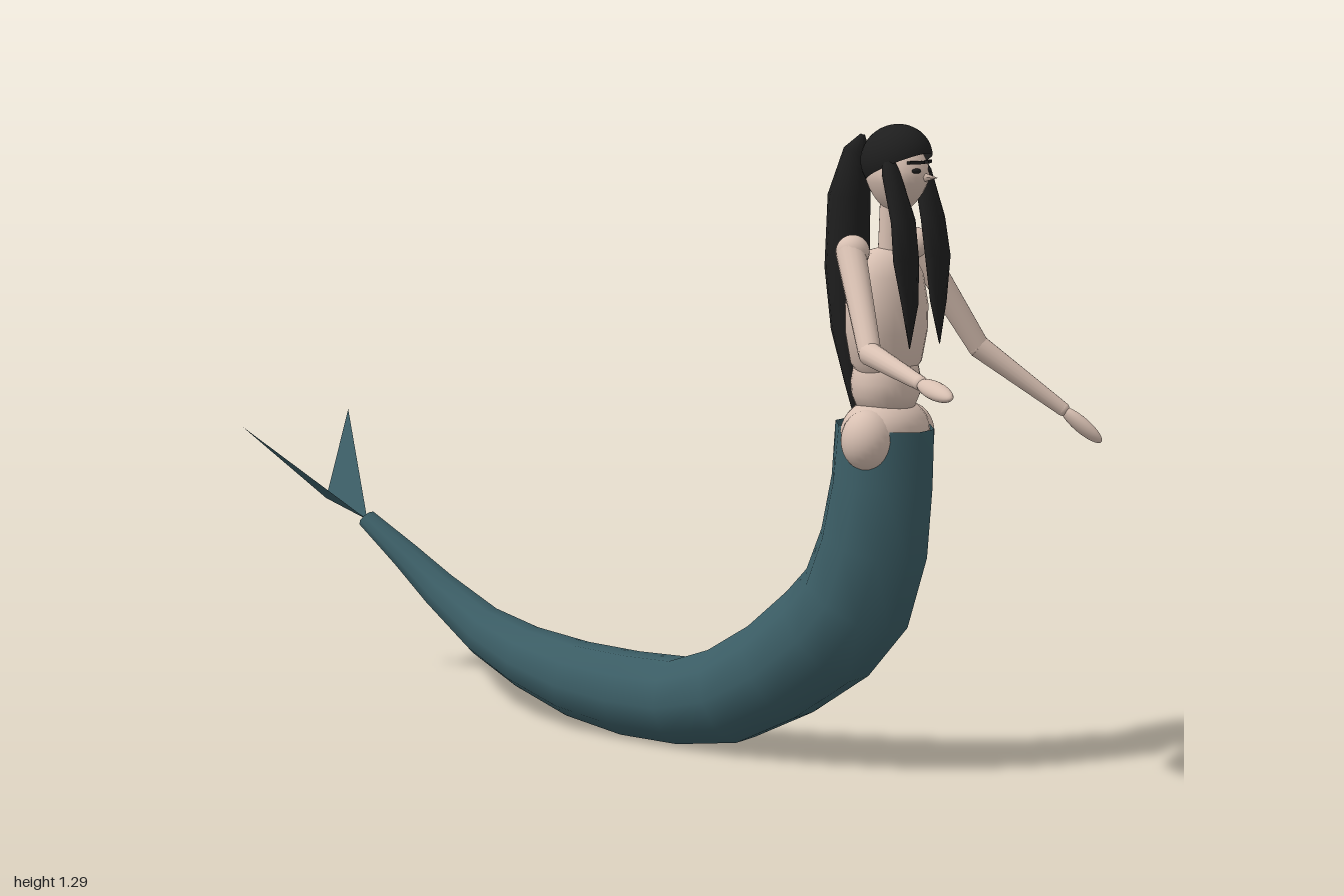
import * as THREE from 'three';

const CX = 0.019; // body midline

export function createModel() {
  const model = new THREE.Group();
  const mat = (name, color, side = THREE.FrontSide) => {
    const m = new THREE.MeshStandardMaterial({ color, side });
    m.name = name;
    return m;
  };
  const skin = mat('skin', 0xd8c0b2);
  const hair = mat('black hair', 0x1e1e1e);
  const teal = mat('teal scales', 0x3b5d65, THREE.DoubleSide);

  const add = (name, geometry, material, x = 0, y = 0, z = 0) => {
    const mesh = new THREE.Mesh(geometry, material);
    mesh.name = name;
    mesh.position.set(x, y, z);
    model.add(mesh);
    return mesh;
  };
  const ball = (name, x, y, z, rx, ry = rx, rz = rx, material = skin) =>
    add(name, new THREE.SphereGeometry(1, 24, 16).scale(rx, ry, rz), material, x, y, z);

  // Elliptical rings [x, y, z, half width, half depth], set square to the path in the yz plane
  const loft = (rings, sides) => {
    const pos = [], index = [];
    rings.forEach(([x, y, z, rx, rd], i) => {
      const p = rings[Math.max(i - 1, 0)], q = rings[Math.min(i + 1, rings.length - 1)];
      const len = Math.hypot(q[1] - p[1], q[2] - p[2]);
      const ty = (q[1] - p[1]) / len, tz = (q[2] - p[2]) / len;
      for (let j = 0; j < sides; j++) {
        const a = (j / sides) * Math.PI * 2, s = Math.sin(a) * rd;
        pos.push(x + Math.cos(a) * rx, y + tz * s, z - ty * s);
        if (i === rings.length - 1) continue;
        const k = i * sides + j, n = i * sides + (j + 1) % sides;
        index.push(k, n, k + sides, n, n + sides, k + sides);
      }
    });
    const g = new THREE.BufferGeometry();
    g.setAttribute('position', new THREE.Float32BufferAttribute(pos, 3));
    g.setIndex(index);
    g.computeVertexNormals();
    return g;
  };

  // Tapered limb between two points
  const limb = (name, a, b, ra, rb) => {
    const d = b.clone().sub(a), mid = a.clone().add(b).multiplyScalar(0.5);
    const mesh = add(name, new THREE.CylinderGeometry(rb, ra, d.length(), 16), skin, ...mid);
    mesh.quaternion.setFromUnitVectors(new THREE.Vector3(0, 1, 0), d.normalize());
    return mesh;
  };

  // Tail
  add('tail', loft([
    [CX, 0.714, 0.61, 0.09, 0.102],
    [CX, 0.60, 0.605, 0.101, 0.103],
    [CX, 0.475, 0.588, 0.112, 0.11],
    [CX, 0.36, 0.549, 0.114, 0.117],
    [CX, 0.28, 0.48, 0.114, 0.118],
    [CX, 0.193, 0.367, 0.112, 0.11],
    [CX, 0.126, 0.245, 0.106, 0.104],
    [0.017, 0.096, 0.12, 0.10, 0.091],
    [0.013, 0.095, -0.01, 0.092, 0.089],
    [0.015, 0.107, -0.15, 0.085, 0.081],
    [0.032, 0.133, -0.30, 0.071, 0.067],
    [0.056, 0.169, -0.435, 0.056, 0.055],
    [0.08, 0.238, -0.58, 0.044, 0.042],
    [0.085, 0.303, -0.68, 0.036, 0.031],
    [0.079, 0.377, -0.79, 0.024, 0.021],
  ], 10), teal);

  // Forked fin, one flat blade on each side
  for (const side of [-1, 1]) {
    const fin = new THREE.BufferGeometry();
    fin.setAttribute('position', new THREE.Float32BufferAttribute(
      [0, 0.375, -0.79, side * 0.178, 0.588, -1, 0, 0.412, -0.912], 3));
    fin.setIndex(side > 0 ? [0, 1, 2] : [0, 2, 1]);
    fin.computeVertexNormals();
    add(side > 0 ? 'leftFin' : 'rightFin', fin, teal, 0.079);
  }

  // Torso
  const chestProfile = [[0, 0.80], [0.06, 0.81], [0.085, 0.84], [0.098, 0.90], [0.099, 0.95],
    [0.087, 1.01], [0.06, 1.055], [0, 1.068]].map(([r, y]) => new THREE.Vector2(r, y));
  add('chest', new THREE.LatheGeometry(chestProfile, 28).scale(1, 1, 0.74), skin, CX, 0, 0.612);
  const bellyProfile = [[0, 0.745], [0.06, 0.745], [0.073, 0.775], [0.076, 0.80], [0.07, 0.83],
    [0.056, 0.852], [0, 0.853]].map(([r, y]) => new THREE.Vector2(r, y));
  add('belly', new THREE.LatheGeometry(bellyProfile, 28).scale(1, 1, 0.88), skin, CX, 0, 0.612);
  ball('pelvis', CX, 0.705, 0.612, 0.108, 0.066, 0.078);
  add('neck', new THREE.CylinderGeometry(0.022, 0.026, 0.13, 16), skin, CX, 1.10, 0.62);

  // Hips and shoulders
  for (const side of [-1, 1]) {
    ball(side > 0 ? 'leftHip' : 'rightHip', CX + side * 0.073, 0.692, 0.618, 0.055, 0.06, 0.052);
    ball(side > 0 ? 'leftShoulder' : 'rightShoulder', CX + side * 0.113, 1.062, 0.605, 0.033);
  }

  // Arms, posed separately: shoulder, elbow, wrist, fingertip
  const arms = {
    right: [[-0.1, 1.06, 0.605], [-0.205, 0.883, 0.718], [-0.318, 0.853, 0.9], [-0.368, 0.837, 0.995]],
    left: [[0.138, 1.06, 0.605], [0.23, 0.855, 0.695], [0.325, 0.73, 0.835], [0.362, 0.667, 0.9]],
  };
  for (const [side, points] of Object.entries(arms)) {
    const [shoulder, elbow, wrist, tip] = points.map((p) => new THREE.Vector3(...p));
    limb(side + 'UpperArm', shoulder, elbow, 0.029, 0.022);
    ball(side + 'Elbow', ...elbow, 0.022);
    limb(side + 'Forearm', elbow, wrist, 0.023, 0.014);
    ball(side + 'Wrist', ...wrist, 0.014);
    const dir = tip.clone().sub(wrist);
    const hand = ball(side + 'Hand', ...wrist.clone().add(tip).multiplyScalar(0.5),
      0.019, dir.length() / 2 + 0.004, 0.015);
    hand.quaternion.setFromUnitVectors(new THREE.Vector3(0, 1, 0), dir.normalize());
  }

  // Head, an egg narrowing to the chin
  const headGeo = new THREE.SphereGeometry(1, 28, 20);
  const p = headGeo.attributes.position;
  for (let i = 0; i < p.count; i++) {
    const y = p.getY(i), k = y < 0 ? 1 + 0.25 * y : 1;
    p.setXYZ(i, p.getX(i) * 0.057 * k, y * 0.072, p.getZ(i) * 0.065 * k);
  }
  headGeo.computeVertexNormals();
  add('head', headGeo, skin, CX, 1.203, 0.633);
  const nose = add('nose', new THREE.ConeGeometry(0.01, 0.035, 4), skin, CX, 1.203, 0.708);
  nose.rotation.x = Math.PI / 2;

  // Eyes and brows as thin plates
  for (const side of [-1, 1]) {
    const brow = add('brow', new THREE.BoxGeometry(0.036, 0.006, 0.009), hair, CX + side * 0.022, 1.232, 0.689);
    brow.rotation.y = side * 0.35;
    const eye = add('eye', new THREE.SphereGeometry(1, 12, 8).scale(0.011, 0.005, 0.0045), hair,
      CX + side * 0.023, 1.216, 0.691);
    eye.rotation.y = side * 0.35;
  }

  // Hair: cap, long back fall and two front locks
  const capMat = mat('black hair', 0x1e1e1e, THREE.DoubleSide);
  const cap = add('hairCap', new THREE.SphereGeometry(0.067, 28, 16, 0, Math.PI * 2, 0, Math.PI * 0.58),
    capMat, CX, 1.236, 0.631);
  cap.rotation.x = -0.42;
  cap.scale.z = 1.08;
  add('backHair', loft([
    [CX, 1.282, 0.553, 0.004, 0.004],
    [CX, 1.25, 0.54, 0.028, 0.026],
    [CX, 1.16, 0.522, 0.042, 0.042],
    [CX, 1.02, 0.519, 0.046, 0.044],
    [CX, 0.90, 0.527, 0.040, 0.037],
    [CX, 0.79, 0.542, 0.026, 0.02],
    [CX, 0.72, 0.547, 0.008, 0.006],
  ], 12), hair);
  for (const side of [-1, 1]) {
    add(side > 0 ? 'leftLock' : 'rightLock', loft([
      [0.052, 1.25, 0.64, 0.006, 0.01],
      [0.057, 1.21, 0.655, 0.019, 0.018],
      [0.054, 1.12, 0.682, 0.032, 0.02],
      [0.058, 1.045, 0.692, 0.038, 0.017],
      [0.052, 0.96, 0.698, 0.024, 0.012],
      [0.055, 0.875, 0.70, 0.001, 0.001],
    ].map(([x, ...rest]) => [CX + side * x, ...rest]), 10), hair);
  }

  return model;
}
